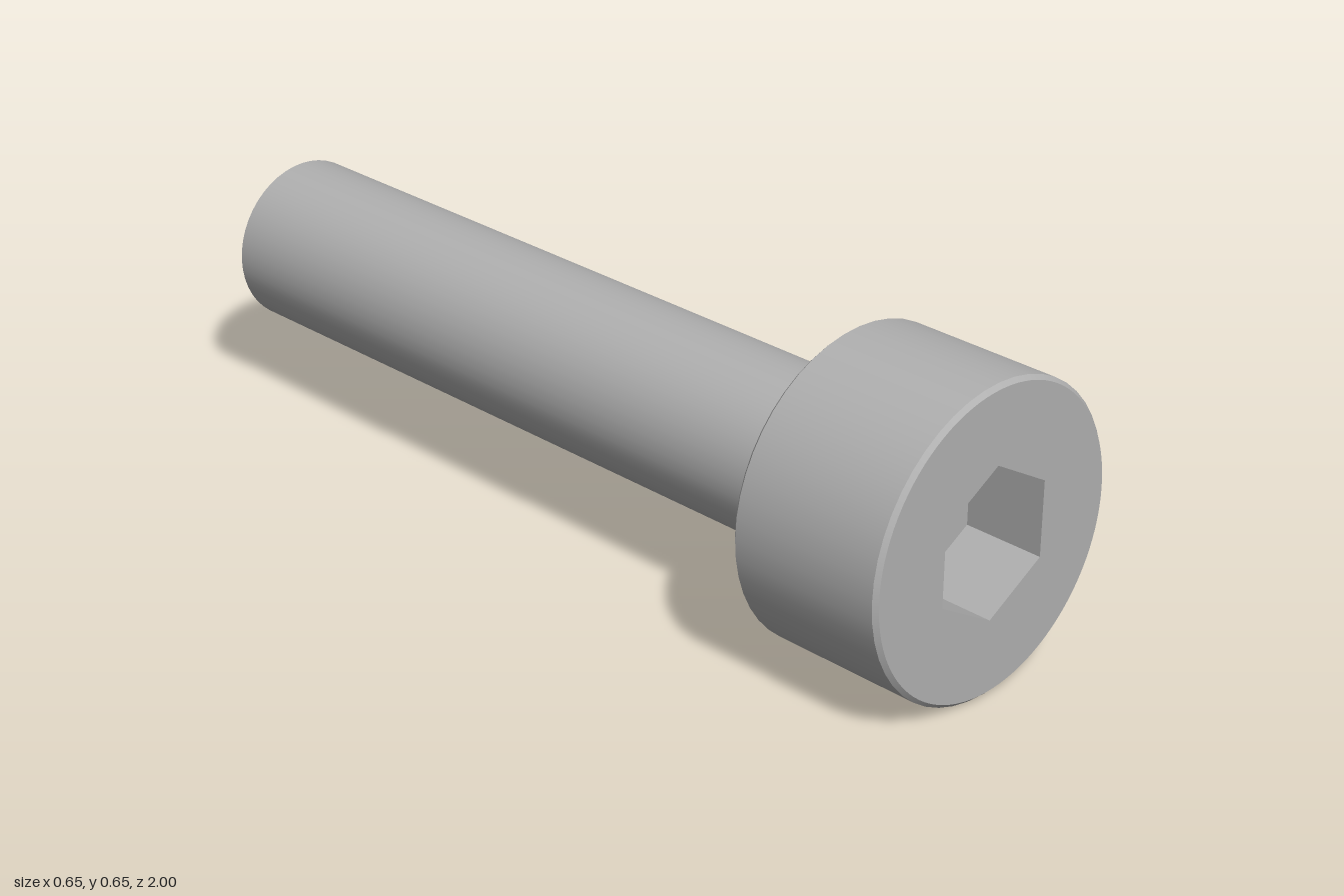
import * as THREE from 'three';
import { mergeGeometries } from 'three/addons/utils/BufferGeometryUtils.js';

const SIDES = 48;
const HEAD_R = 0.327, SHAFT_R = 0.18, CHAMFER = 0.009;
const HEX_R = 0.162, HEX_DEPTH = 0.178;
const HEAD_BACK = 0.645, FRONT = 1, BACK = -1;

// Turned part along z: one lathe per profile step, so each step keeps a sharp edge
function turned(profile) {
  const bands = [];
  for (let i = 0; i < profile.length - 1; i++) {
    const pair = [profile[i], profile[i + 1]].map(([r, z]) => new THREE.Vector2(r, z));
    bands.push(new THREE.LatheGeometry(pair, SIDES));
  }
  return mergeGeometries(bands).rotateX(Math.PI / 2);
}

export function createModel() {
  const steel = new THREE.MeshStandardMaterial({ color: 0xb0b0b0 });
  steel.name = 'steel grey';
  const model = new THREE.Group();
  model.name = 'socketHeadBolt';
  const add = (name, geometry) => {
    const mesh = new THREE.Mesh(geometry, steel);
    mesh.name = name;
    mesh.position.y = HEAD_R;
    model.add(mesh);
  };

  // Shaft with a chamfered tip
  add('shaft', turned([
    [0, BACK], [SHAFT_R - CHAMFER, BACK], [SHAFT_R, BACK + CHAMFER], [SHAFT_R, HEAD_BACK],
  ]));

  // Head: shoulder, chamfers and side wall
  add('head', turned([
    [SHAFT_R, HEAD_BACK], [HEAD_R - CHAMFER, HEAD_BACK], [HEAD_R, HEAD_BACK + CHAMFER],
    [HEAD_R, FRONT - CHAMFER], [HEAD_R - CHAMFER, FRONT],
  ]));

  // Front face with a hexagonal opening
  const face = new THREE.Shape().absarc(0, 0, HEAD_R - CHAMFER, 0, Math.PI * 2);
  const corners = Array.from({ length: 6 }, (_, i) => {
    const a = Math.PI / 2 - i * Math.PI / 3;
    return new THREE.Vector2(HEX_R * Math.cos(a), HEX_R * Math.sin(a));
  });
  face.holes.push(new THREE.Path(corners));
  add('headFace', new THREE.ShapeGeometry(face, SIDES).translate(0, 0, FRONT));

  // Hex socket: inward-facing walls and flat floor
  const socket = new THREE.LatheGeometry([
    new THREE.Vector2(HEX_R, FRONT),
    new THREE.Vector2(HEX_R, FRONT - HEX_DEPTH),
    new THREE.Vector2(0, FRONT - HEX_DEPTH),
  ], 6).rotateX(Math.PI / 2).toNonIndexed();
  socket.computeVertexNormals();
  add('hexSocket', socket);

  return model;
}
